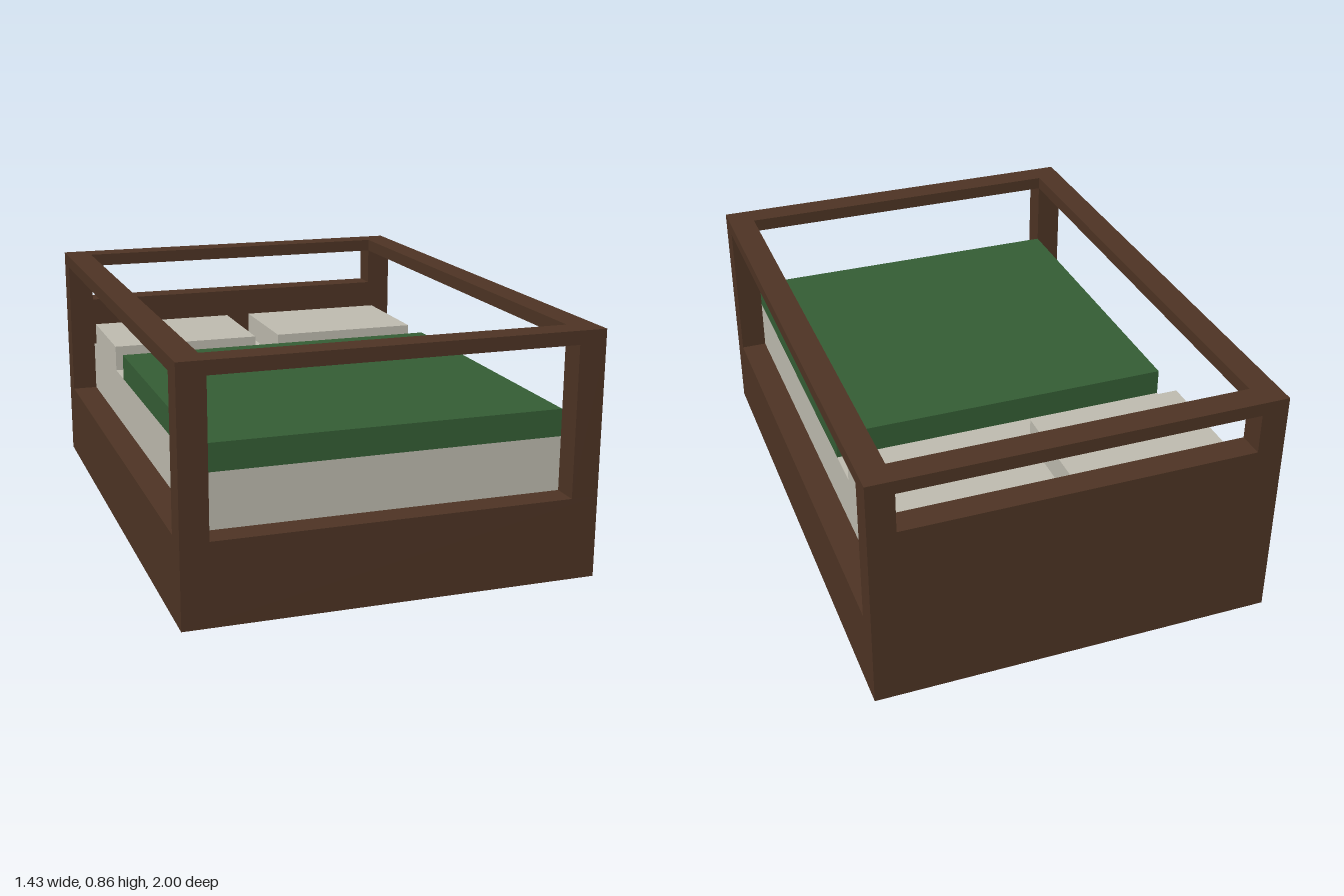
import * as THREE from 'three';

const material = (name, color) => {
  const m = new THREE.MeshStandardMaterial({ color });
  m.name = name;
  return m;
};

export function createModel() {
  const wood = material('dark wood', 0x4e3424);
  const linen = material('off-white linen', 0xbfbcb0);
  const green = material('green blanket', 0x355e35);

  const bed = new THREE.Group();
  bed.name = 'bed';

  // Box given by its limits along each axis
  const box = (name, mat, [x0, x1], [y0, y1], [z0, z1]) => {
    const mesh = new THREE.Mesh(new THREE.BoxGeometry(x1 - x0, y1 - y0, z1 - z0), mat);
    mesh.position.set((x0 + x1) / 2, (y0 + y1) / 2, (z0 + z1) / 2);
    mesh.name = name;
    bed.add(mesh);
  };
  const side = (s, a, b) => (s > 0 ? [a, b] : [-b, -a]);

  const X = 0.714, Z = 1, H = 0.857;       // outer size
  const xi = 0.619, zi = 0.905;            // inner faces of the posts
  const baseTop = 0.286, railY = 0.81, bedTop = 0.476, coverTop = 0.571;

  // Solid base and headboard
  box('base', wood, [-X, X], [0, baseTop], [-Z, Z]);
  box('headboard', wood, [-xi, xi], [baseTop, 0.667], [-Z, -zi]);

  // Corner posts and the top rails joining them
  for (const s of [-1, 1]) {
    for (const t of [-1, 1]) box('post', wood, side(s, xi, X), [baseTop, railY], side(t, zi, Z));
    box('sideRail', wood, side(s, xi, X), [railY, H], [-Z, Z]);
    box('endRail', wood, [-xi, xi], [railY, H], side(s, zi, Z));
  }

  // Bedding
  box('mattress', linen, [-xi, xi], [baseTop, bedTop], [-zi, zi]);
  box('blanket', green, [-xi, xi], [bedTop, coverTop], [-0.286, zi]);
  for (const s of [-1, 1]) box('pillow', linen, side(s, 0.048, xi), [bedTop, coverTop], [-0.857, -0.429]);

  return bed;
}
